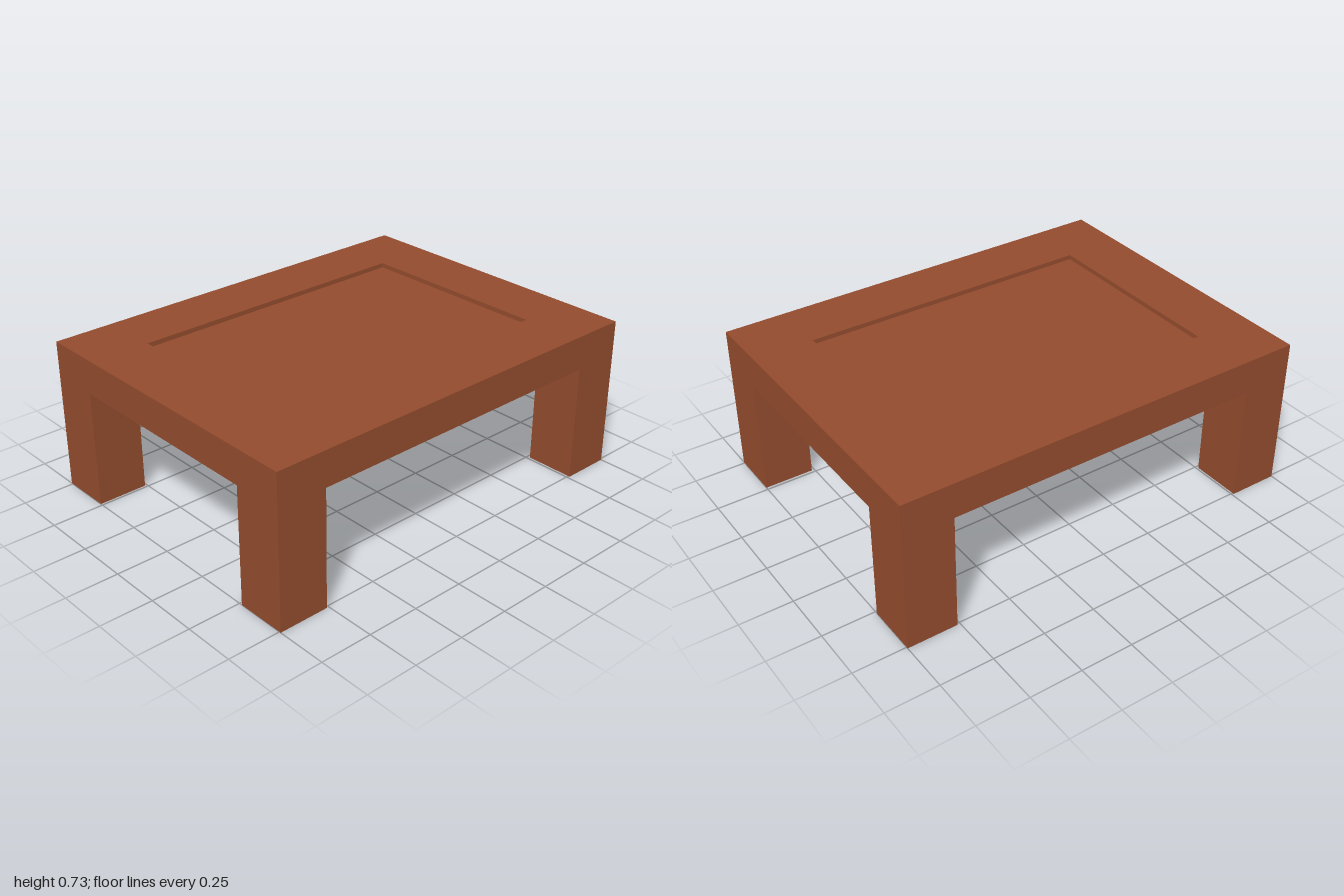
import * as THREE from 'three';

// Overall sizes: half width, half depth, height, underside height
const X = 1, Z = 0.758, H = 0.725, U = 0.56;
// Inner faces of the legs
const xL = -0.76, xR = 0.763, zB = -0.512, zF = 0.515;
// Sunken panel in the top
const PX = 0.713, PZ = 0.473, SINK = 0.022;

const polygon = (points) => new THREE.Shape(points.map(([a, b]) => new THREE.Vector2(a, b)));
const rectangle = (a, b) => [[-a, -b], [a, -b], [a, b], [-a, b]];

// Outer face of one side: apron with a leg at each end
const arch = (half, a, b) => new THREE.ShapeGeometry(polygon([
  [-half, 0], [a, 0], [a, U], [b, U], [b, 0], [half, 0], [half, H], [-half, H],
]));

export function createModel() {
  const group = new THREE.Group();
  group.name = 'coffeeTable';
  const wood = new THREE.MeshStandardMaterial({ color: 0x924b2d, side: THREE.DoubleSide });
  wood.name = 'reddish brown wood';

  const add = (name, geometry, x = 0, y = 0, z = 0) => {
    const mesh = new THREE.Mesh(geometry, wood);
    mesh.name = name;
    mesh.position.set(x, y, z);
    group.add(mesh);
  };

  // Outer faces
  add('frontFace', arch(X, xL, xR), 0, 0, Z);
  add('backFace', arch(X, xL, xR), 0, 0, -Z);
  add('leftFace', arch(Z, zB, zF).rotateY(-Math.PI / 2), X);
  add('rightFace', arch(Z, zB, zF).rotateY(-Math.PI / 2), -X);

  // Top rim around the sunken panel
  const rim = polygon(rectangle(X, Z));
  rim.holes.push(polygon(rectangle(PX, PZ).reverse()));
  add('topRim', new THREE.ShapeGeometry(rim).rotateX(-Math.PI / 2), 0, H);
  add('sunkenPanel', new THREE.PlaneGeometry(2 * PX, 2 * PZ).rotateX(-Math.PI / 2), 0, H - SINK);
  for (const s of [-1, 1]) {
    add('panelLipLong', new THREE.PlaneGeometry(2 * PX, SINK), 0, H - SINK / 2, s * PZ);
    add('panelLipShort', new THREE.PlaneGeometry(2 * PZ, SINK).rotateY(Math.PI / 2), s * PX, H - SINK / 2);
  }

  // Underside, notched at the corners where the hollow legs join
  add('underside', new THREE.ShapeGeometry(polygon([
    [xL, -Z], [xR, -Z], [xR, zB], [X, zB], [X, zF], [xR, zF],
    [xR, Z], [xL, Z], [xL, zF], [-X, zF], [-X, zB], [xL, zB],
  ])).rotateX(Math.PI / 2), 0, U);

  // Inner walls of the four legs, open at the foot
  for (const [x, outerX] of [[xL, -X], [xR, X]]) {
    for (const [z, outerZ] of [[zB, -Z], [zF, Z]]) {
      const w = Math.abs(outerX - x), d = Math.abs(outerZ - z);
      add('legInnerWall', new THREE.PlaneGeometry(w, U), (x + outerX) / 2, U / 2, z);
      add('legInnerWall', new THREE.PlaneGeometry(d, U).rotateY(Math.PI / 2), x, U / 2, (z + outerZ) / 2);
    }
  }
  return group;
}
